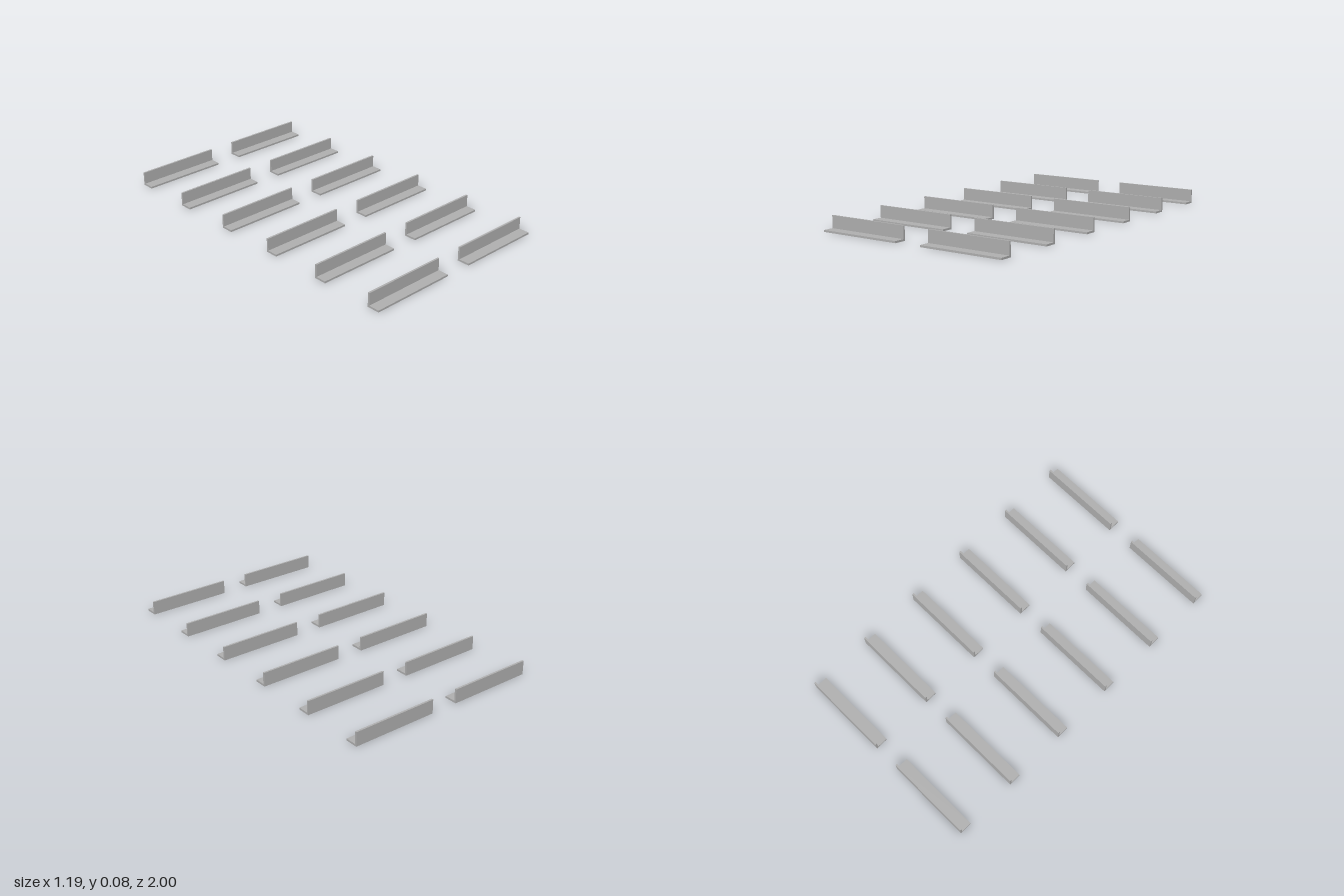
import * as THREE from 'three';

export function createModel() {
  const model = new THREE.Group();
  const grey = new THREE.MeshStandardMaterial({ color: 0xb0b0b0 });
  grey.name = 'grey';

  const length = 0.514, height = 0.083, depth = 0.075, thick = 0.011;

  // L-shaped section: flat foot towards the front, upright leg at the back
  const section = new THREE.Shape([
    [0, 0], [depth, 0], [depth, thick], [thick, thick], [thick, height], [0, height],
  ].map(([z, y]) => new THREE.Vector2(z, y)));
  const bracket = new THREE.ExtrudeGeometry(section, { depth: length, bevelEnabled: false });
  bracket.translate(0, 0, -length / 2);
  bracket.rotateY(-Math.PI / 2); // section x becomes z, length runs along x

  // Six rows of two angle brackets
  for (let row = 0; row < 6; row++) {
    for (const side of [-1, 1]) {
      const mesh = new THREE.Mesh(bracket, grey);
      mesh.name = `${side > 0 ? 'left' : 'right'}AngleBracket${row + 1}`;
      mesh.position.set(side * 0.34, 0, -1 + row * (2 - depth) / 5);
      model.add(mesh);
    }
  }
  return model;
}
